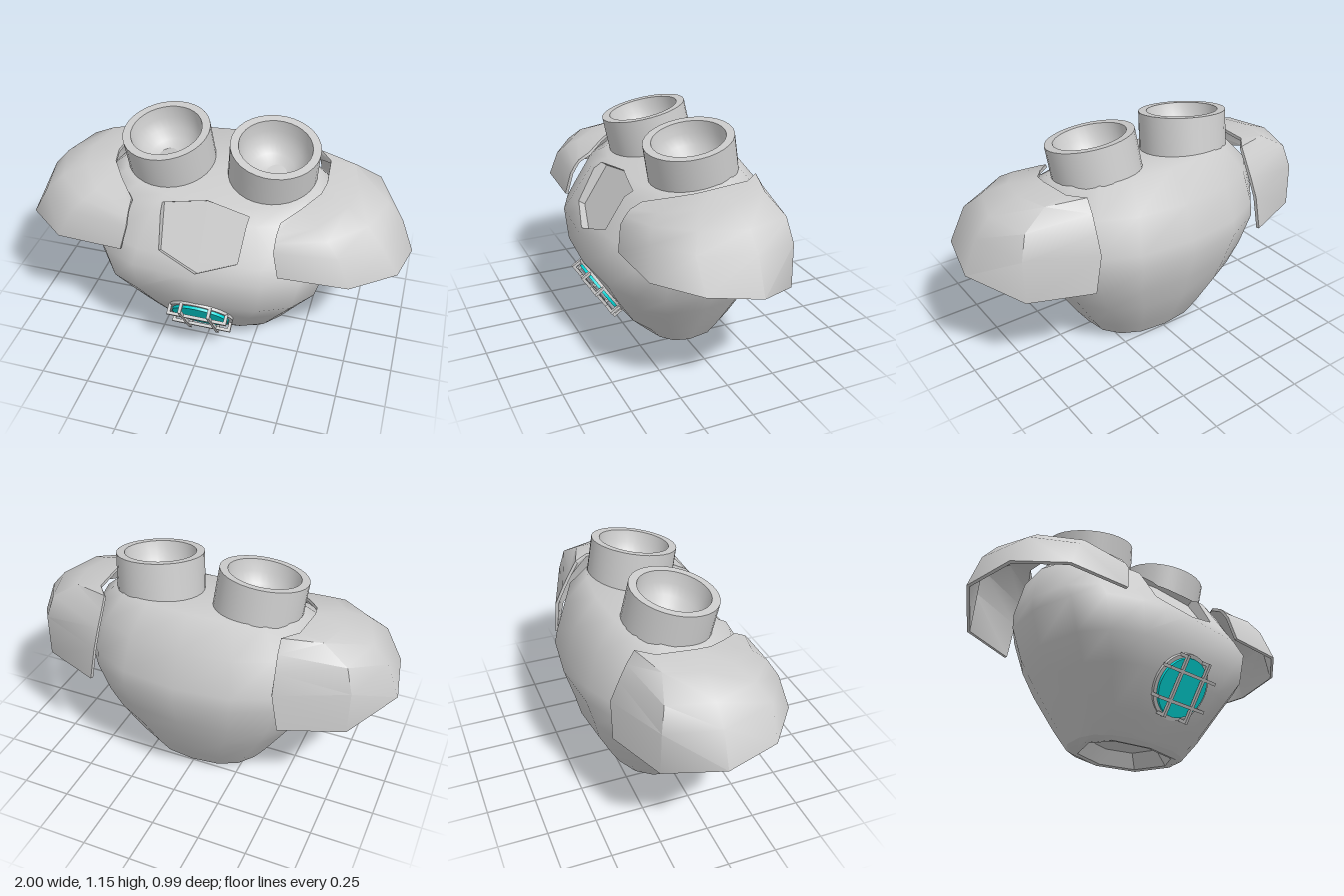
import * as THREE from 'three';
import { toCreasedNormals } from 'three/addons/utils/BufferGeometryUtils.js';

const V = (x, y, z) => new THREE.Vector3(x, y, z);
const grey = new THREE.MeshStandardMaterial({ color: 0xcccccc });
const teal = new THREE.MeshStandardMaterial({ color: 0x00dddd });

function addMesh(parent, name, geometry, material = grey) {
  const mesh = new THREE.Mesh(geometry, material);
  mesh.name = name;
  parent.add(mesh);
  return mesh;
}

// Joins rows of points into a surface; rows run upward, columns counter-clockwise seen from above.
function loft(rows, closeCols, closeRows, extra = []) {
  const n = rows[0].length, m = rows.length, index = [...extra];
  for (let r = 0; r < (closeRows ? m : m - 1); r++) {
    for (let c = 0; c < (closeCols ? n : n - 1); c++) {
      const a = r * n + c, b = r * n + (c + 1) % n;
      const r2 = (r + 1) % m, d = r2 * n + c, e = r2 * n + (c + 1) % n;
      index.push(a, b, e, a, e, d);
    }
  }
  const geo = new THREE.BufferGeometry().setFromPoints(rows.flat());
  geo.setIndex(index);
  geo.computeVertexNormals();
  return geo;
}

// Sinks the +z surface inside a convex outline (x, y, counter-clockwise) to a flat floor, with side walls.
function recess(geo, outline, floorZ) {
  const P = geo.attributes.position, N = geo.attributes.normal, pos = [], nor = [];
  const emit = (poly) => {
    for (let i = 1; i < poly.length - 1; i++) {
      for (const v of [poly[0], poly[i], poly[i + 1]]) {
        pos.push(...v.p.toArray());
        nor.push(...v.n.toArray());
      }
    }
  };
  const sides = outline.map(([x, y], i) => {
    const [x2, y2] = outline[(i + 1) % outline.length], l = Math.hypot(x2 - x, y2 - y);
    return { d: (p) => ((x2 - x) * (p.y - y) - (y2 - y) * (p.x - x)) / l, n: V((y - y2) / l, (x2 - x) / l, 0) };
  });
  const split = (poly, dist) => {
    const inside = [], outside = [];
    poly.forEach((a, i) => {
      const b = poly[(i + 1) % poly.length], da = dist(a.p), db = dist(b.p);
      if (da >= 0) inside.push(a);
      if (da <= 0) outside.push(a);
      if (da * db < 0) {
        const t = da / (da - db);
        const c = { p: a.p.clone().lerp(b.p, t), n: a.n.clone().lerp(b.n, t).normalize() };
        inside.push(c);
        outside.push(c);
      }
    });
    return [inside, outside];
  };
  const sink = (p) => V(p.x, p.y, Math.min(floorZ, p.z - 0.01));
  for (let i = 0; i < P.count; i += 3) {
    let poly = [0, 1, 2].map((k) => ({
      p: V().fromBufferAttribute(P, i + k), n: V().fromBufferAttribute(N, i + k),
    }));
    if (Math.min(...poly.map((v) => v.p.z)) < 0.3) { emit(poly); continue; }
    for (const s of sides) {
      if (poly.length < 3) break;
      const [inside, outside] = split(poly, s.d);
      if (outside.length > 2) emit(outside);
      poly = inside;
    }
    if (poly.length < 3) continue;
    emit(poly.map((v) => ({ p: sink(v.p), n: V(0, 0, 1) })));
    poly.forEach((a, k) => {
      const b = poly[(k + 1) % poly.length];
      const s = sides.find((e) => Math.abs(e.d(a.p)) < 1e-5 && Math.abs(e.d(b.p)) < 1e-5);
      if (s) emit([a.p, b.p, sink(b.p), sink(a.p)].map((p) => ({ p, n: s.n })));
    });
  }
  const out = new THREE.BufferGeometry();
  out.setAttribute('position', new THREE.Float32BufferAttribute(pos, 3));
  out.setAttribute('normal', new THREE.Float32BufferAttribute(nor, 3));
  return out;
}

// Rounded ring of 16 points: height, half width, front z, back z, slope, and front squareness (lower is squarer).
function ring([y, w, front, back, slope = 0, square = 0.85]) {
  return Array.from({ length: 16 }, (_, i) => {
    const s = Math.sin(i * Math.PI / 8), c = Math.cos(i * Math.PI / 8), e = c > 0.01 ? square : 0.85;
    const z = Math.sign(c) * Math.abs(c) ** e * (c > 0 ? front : back);
    return V(w * Math.sign(s) * Math.abs(s) ** e, y - slope * z, z);
  });
}
const foot = [0.022, 0.325, 0.178, 0.262];

// Barrel-shaped body with a panel cut square to the sloping chest.
function bodyGeometry() {
  const rows = [
    foot, [0.12, 0.395, 0.275, 0.32, 0, 0.78], [0.3, 0.51, 0.393, 0.41, 0, 0.72], [0.42, 0.59, 0.46, 0.44, 0, 0.68],
    [0.59, 0.64, 0.475, 0.49, 0, 0.7], [0.66, 0.645, 0.43, 0.473, 0, 0.75], [0.84, 0.6, 0.325, 0.42],
    [0.93, 0.5, 0.24, 0.3, 0.19], [0.935, 0.001, 0.001, 0.001],
  ].map(ring);
  const tilt = 0.62;
  const panel = [[0, 0.232], [0.2, 0.315], [0.22, 0.55], [0, 0.593], [-0.22, 0.55], [-0.2, 0.315]];
  const solid = toCreasedNormals(loft(rows, true, false), 1.1).rotateX(tilt);
  return recess(solid, panel, 0.682).rotateX(-tilt);
}

// Underside with an eight-sided sunken opening.
function undersideGeometry() {
  const rows = [
    [0.08, 0.001, 0.001, 0.001], [0.08, 0.2, 0.1, 0.17], [0.008, 0.265, 0.14, 0.215], [0.005, 0.295, 0.157, 0.24],
  ].map(ring);
  for (const row of rows) {
    for (let i = 1; i < 16; i += 2) row[i].lerpVectors(row[i - 1], row[(i + 1) % 16], 0.5);
  }
  return toCreasedNormals(loft([...rows, ring(foot)], true, false), 0.5);
}

// Curved shoulder plate with thickness, for the +x side.
function plateGeometry() {
  // Rows from the lower edge to the inner top edge, each from front to back
  const rows = [
    [[0.4, 0.645, 0.415], [0.74, 0.645, 0.4], [0.95, 0.64, 0.23], [1, 0.6, -0.03], [0.82, 0.515, -0.28], [0.51, 0.515, -0.4]],
    [[0.37, 0.77, 0.39], [0.67, 0.79, 0.37], [0.86, 0.8, 0.24], [0.93, 0.78, -0.03], [0.822, 0.74, -0.275], [0.475, 0.71, -0.395]],
    [[0.37, 0.81, 0.365], [0.61, 0.85, 0.335], [0.78, 0.872, 0.19], [0.85, 0.872, -0.03], [0.785, 0.865, -0.25], [0.47, 0.81, -0.35]],
    [[0.37, 0.84, 0.34], [0.56, 0.885, 0.28], [0.67, 0.918, 0.13], [0.7, 0.932, -0.03], [0.655, 0.943, -0.21], [0.465, 0.89, -0.31]],
    [[0.375, 0.87, 0.28], [0.46, 0.905, 0.18], [0.53, 0.935, 0.08], [0.545, 0.948, 0], [0.53, 0.955, -0.19], [0.465, 0.957, -0.27]],
  ].map((row) => row.map((p) => V(...p)));
  const normals = loft(rows, false, false).attributes.normal;
  const inner = rows.map((row, r) => row.map((p, c) =>
    V().fromBufferAttribute(normals, r * 6 + c).multiplyScalar(-0.016).add(p)));
  const caps = [];
  for (let k = 0; k < 4; k++) {
    const [a, b, c, d] = [9 - k, k, k + 1, 8 - k].map((r) => r * 6);
    caps.push(a, b, c, a, c, d, a + 5, c + 5, b + 5, a + 5, d + 5, c + 5);
  }
  return loft([...rows, ...inner.reverse()], false, true, caps);
}

function mirrored(geo) {
  const out = geo.clone().scale(-1, 1, 1);
  out.setIndex([...geo.index.array].reverse());
  return out;
}

// Round window with a wire guard, built facing +z.
function porthole() {
  const group = new THREE.Group();
  group.name = 'porthole';
  const rim = new THREE.Shape().absarc(0, 0, 0.17, 0, Math.PI * 2);
  rim.holes.push(new THREE.Path().absarc(0, 0, 0.15, 0, Math.PI * 2, true));
  const rimGeo = new THREE.ExtrudeGeometry(rim, { depth: 0.03, bevelEnabled: false, curveSegments: 24 });
  addMesh(group, 'windowRim', toCreasedNormals(rimGeo, 0.6)).position.z = -0.03;
  const glass = addMesh(group, 'windowGlass', new THREE.CylinderGeometry(0.15, 0.15, 0.045, 32), teal);
  glass.rotation.x = Math.PI / 2;
  glass.position.z = -0.008;
  for (const turn of [0, Math.PI / 2]) {
    for (const offset of [-0.075, 0.075]) {
      const guard = new THREE.Group();
      guard.name = 'guardBar';
      guard.rotation.z = turn;
      addMesh(guard, 'bar', new THREE.BoxGeometry(0.016, 0.316, 0.016)).position.set(offset, 0, 0.042);
      for (const end of [-0.15, 0.15]) {
        addMesh(guard, 'barLeg', new THREE.BoxGeometry(0.016, 0.016, 0.05)).position.set(offset, end, 0.017);
      }
      group.add(guard);
    }
  }
  return group;
}

export function createModel() {
  const model = new THREE.Group();
  model.name = 'torso';
  addMesh(model, 'body', bodyGeometry());
  addMesh(model, 'underside', undersideGeometry());

  // Shoulder plates
  const plate = plateGeometry();
  addMesh(model, 'leftShoulderPlate', toCreasedNormals(plate, 0.8));
  addMesh(model, 'rightShoulderPlate', toCreasedNormals(mirrored(plate), 0.8));

  // Neck tubes with bowl-shaped insides, leaning forward and outward
  const profile = [
    [0.225, -0.3], [0.223, 0], [0.182, 0], [0.172, -0.06], [0.148, -0.115], [0.108, -0.155], [0.058, -0.178], [0, -0.185],
  ].map(([x, y]) => new THREE.Vector2(x, y));
  const tube = toCreasedNormals(new THREE.LatheGeometry(profile, 32), 0.9);
  for (const side of [1, -1]) {
    const mesh = addMesh(model, side > 0 ? 'leftNeckTube' : 'rightNeckTube', tube);
    mesh.position.set(side * 0.28, 1.113, 0);
    mesh.quaternion.setFromUnitVectors(V(0, 1, 0), V(side * 0.09, 1, 0.195).normalize());
  }

  // Window on the lower front, tilted downward
  const porth = porthole();
  porth.position.set(0, 0.262, 0.37);
  porth.rotation.x = 0.583;
  model.add(porth);
  return model;
}
